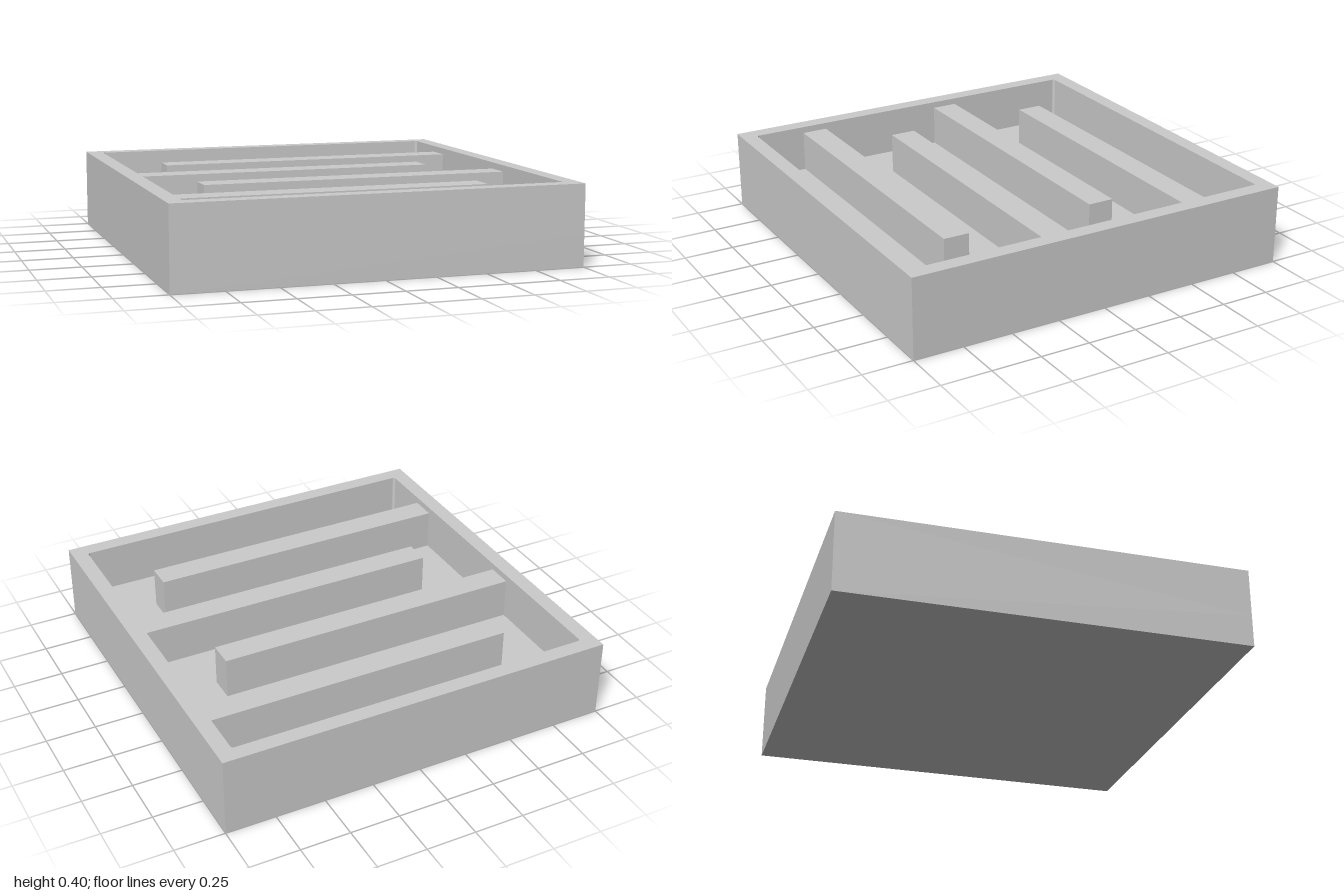
import * as THREE from 'three';

const HEIGHT = 0.4, FLOOR = 0.16, BAFFLE_TOP = 0.367;
const INNER = 0.921; // half width of the cavity

// Rounded square path, used for the cavity outline
function roundedSquare(h, r) {
  const p = new THREE.Path();
  p.moveTo(-h + r, -h);
  p.lineTo(h - r, -h);
  p.absarc(h - r, -h + r, r, -Math.PI / 2, 0);
  p.lineTo(h, h - r);
  p.absarc(h - r, h - r, r, 0, Math.PI / 2);
  p.lineTo(-h + r, h);
  p.absarc(-h + r, h - r, r, Math.PI / 2, Math.PI);
  p.lineTo(-h, -h + r);
  p.absarc(-h + r, -h + r, r, Math.PI, Math.PI * 1.5);
  return p;
}

export function createModel() {
  const group = new THREE.Group();
  const material = new THREE.MeshStandardMaterial({ color: 0xcccccc });

  function add(name, geometry, x, y, z) {
    const mesh = new THREE.Mesh(geometry, material);
    mesh.name = name;
    mesh.position.set(x, y, z);
    group.add(mesh);
    return mesh;
  }

  // Solid floor slab
  add('floor', new THREE.BoxGeometry(2, FLOOR, 2), 0, FLOOR / 2, 0);

  // Surrounding wall with slightly rounded inner corners
  const outline = new THREE.Shape([[-1, -1], [1, -1], [1, 1], [-1, 1]].map(([x, y]) => new THREE.Vector2(x, y)));
  outline.holes.push(roundedSquare(INNER, 0.013));
  const wall = new THREE.ExtrudeGeometry(outline, { depth: HEIGHT - FLOOR, bevelEnabled: false, curveSegments: 6 });
  wall.rotateX(-Math.PI / 2);
  add('outerWall', wall, 0, FLOOR, 0);

  // Baffles reaching in from alternating sides to form a winding channel
  const length = 1.577, width = 0.131, pitch = 0.395;
  for (let i = 0; i < 4; i++) {
    const side = i % 2 ? -1 : 1;
    add('baffle' + (i + 1), new THREE.BoxGeometry(length, BAFFLE_TOP - FLOOR, width),
      side * (INNER - length / 2), (BAFFLE_TOP + FLOOR) / 2, (i - 1.5) * pitch);
  }

  return group;
}
